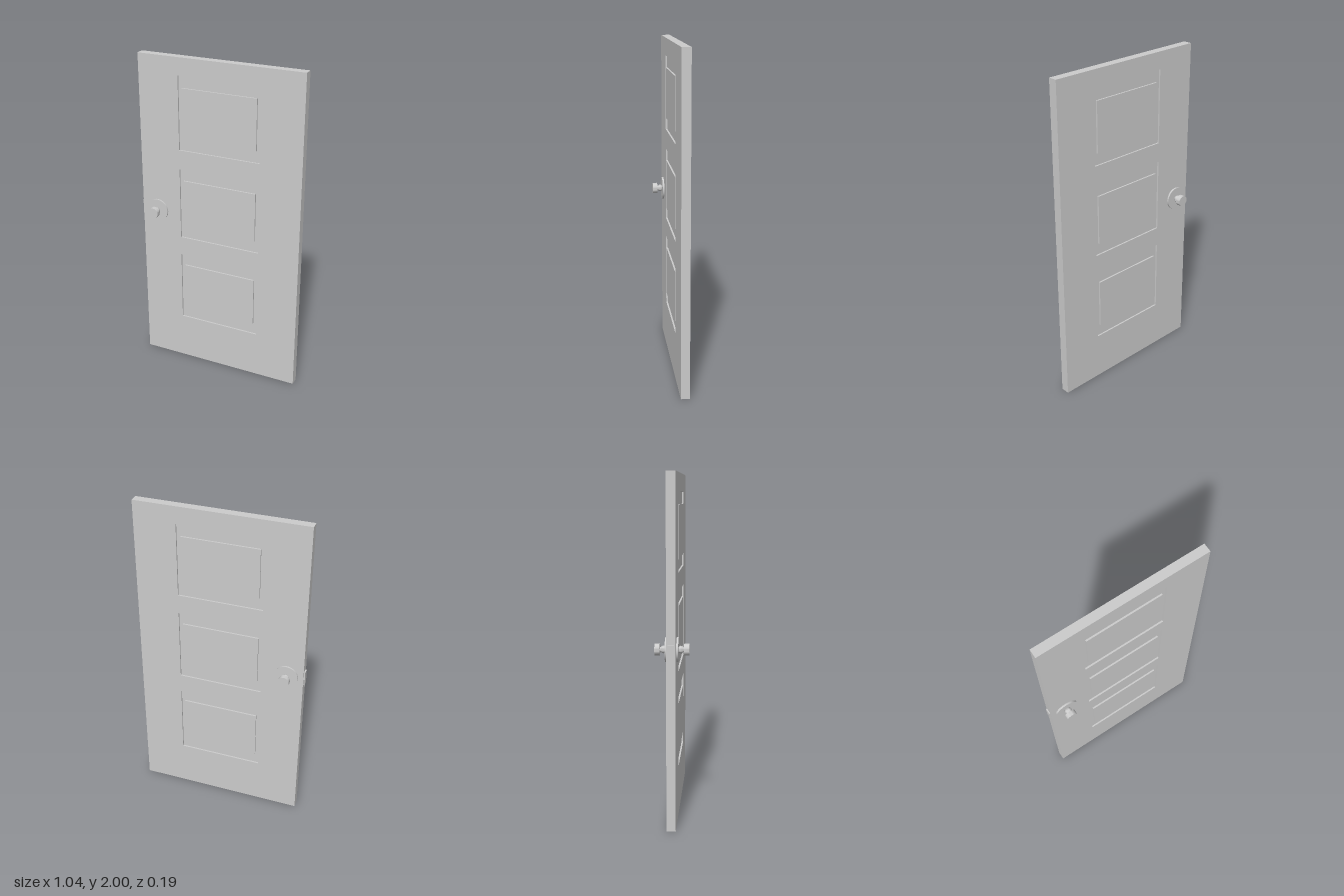
import * as THREE from 'three';
import { toCreasedNormals } from 'three/addons/utils/BufferGeometryUtils.js';

const WIDTH = 1.034, HEIGHT = 2, THICK = 0.053, RECESS = 0.01;
const DOOR_X = 0.003;
const KNOB = { x: -0.412, y: 1.028 };

export function createModel() {
  const root = new THREE.Group();
  root.name = 'door';
  const material = new THREE.MeshStandardMaterial({ color: 0xcccccc });

  const add = (parent, name, geometry, x = 0, y = 0, z = 0) => {
    const mesh = new THREE.Mesh(geometry, material);
    mesh.name = name;
    mesh.position.set(x, y, z);
    parent.add(mesh);
    return mesh;
  };

  const rect = (path, x0, y0, x1, y1) =>
    path.moveTo(x0, y0).lineTo(x1, y0).lineTo(x1, y1).lineTo(x0, y1).closePath();

  // Door frame with three openings, each holding a recessed floor and a raised panel
  const leaf = new THREE.Group();
  leaf.name = 'doorLeaf';
  leaf.position.x = DOOR_X;
  root.add(leaf);

  const frame = rect(new THREE.Shape(), -WIDTH / 2, 0, WIDTH / 2, HEIGHT);
  const outerW = 0.518, outerH = 0.452, innerW = 0.47, innerH = 0.308;
  for (let i = 0; i < 3; i++) {
    const y = 1.668 - i * 0.573;
    frame.holes.push(rect(new THREE.Path(), -outerW / 2, y - outerH / 2, outerW / 2, y + outerH / 2));
    add(leaf, 'panelRecess', new THREE.BoxGeometry(outerW, outerH, THICK - 2 * RECESS), 0, y);
    add(leaf, 'raisedPanel', new THREE.BoxGeometry(innerW, innerH, THICK), 0, y);
  }
  add(leaf, 'doorFrame',
    new THREE.ExtrudeGeometry(frame, { depth: THICK, bevelEnabled: false }), 0, 0, -THICK / 2);

  // Knob profile: radius and distance from the door's middle plane
  const profile = [
    [0, 0.02], [0.07, 0.02], [0.07, 0.0375], [0.017, 0.0375],
    [0.021, 0.044], [0.022, 0.049], [0.019, 0.056], [0.014, 0.063],
    [0.012, 0.068], [0.0335, 0.068], [0.0335, 0.097], [0, 0.097],
  ].map(([r, d]) => new THREE.Vector2(r, d));
  const knobGeometry = toCreasedNormals(new THREE.LatheGeometry(profile, 32), 0.6);
  knobGeometry.rotateX(Math.PI / 2);

  const front = add(root, 'frontKnob', knobGeometry, KNOB.x, KNOB.y);
  const back = front.clone();
  back.name = 'backKnob';
  back.rotation.y = Math.PI;
  root.add(back);

  // Latch plate on the opening edge
  add(root, 'latchPlate', new THREE.BoxGeometry(0.02, 0.09, 0.036), -0.511, 1.026);

  return root;
}
